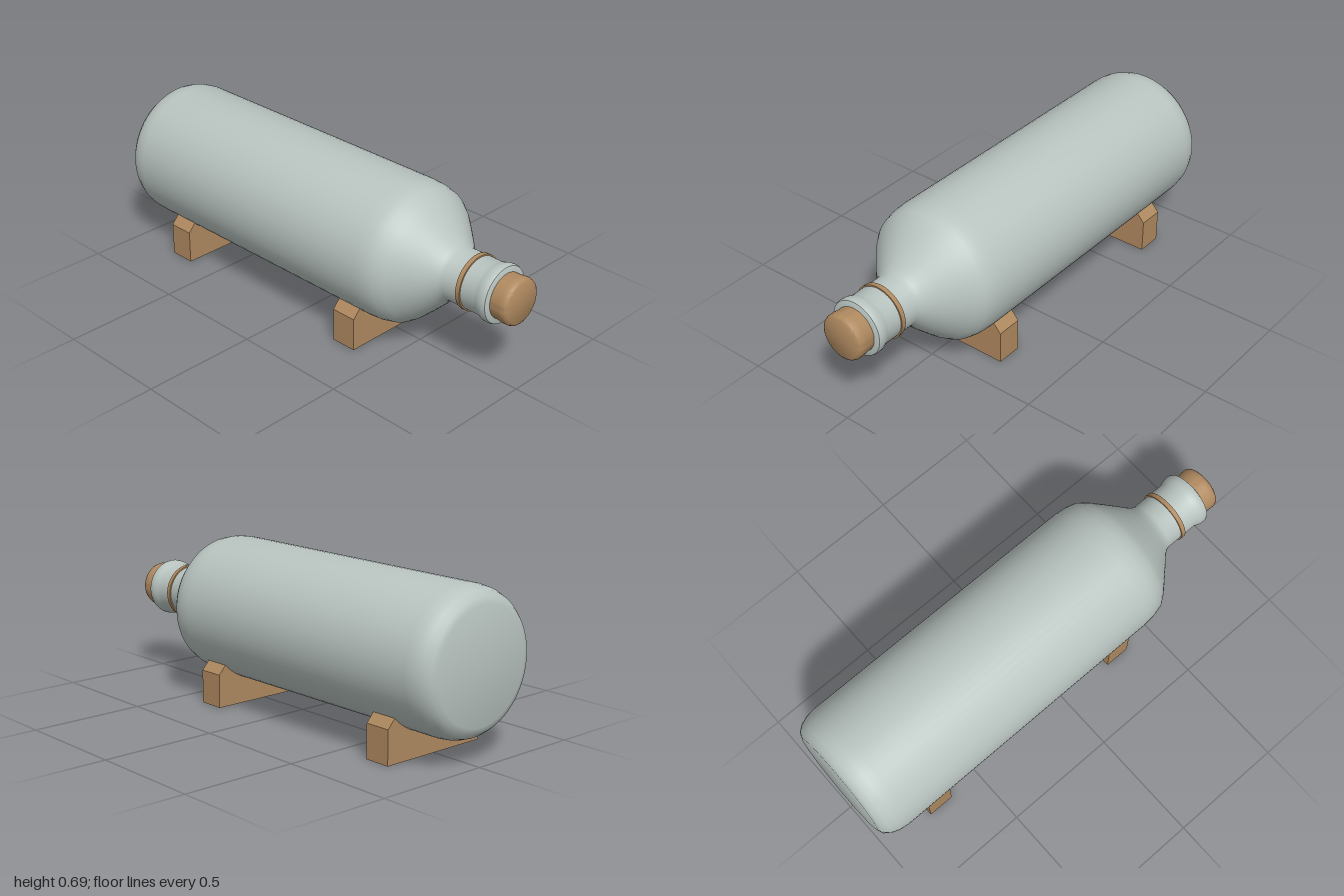
import * as THREE from 'three';
import { toCreasedNormals } from 'three/addons/utils/BufferGeometryUtils.js';

const AXIS_Y = 0.39; // height of the bottle's axis
const RADIUS = 0.3;

// Turned part lying along x, from [radius, x] pairs
function turned(name, profile, material) {
  const points = profile.map(([r, x]) => new THREE.Vector2(r, x));
  const geometry = toCreasedNormals(new THREE.LatheGeometry(points, 64), 0.75);
  geometry.rotateZ(-Math.PI / 2);
  const mesh = new THREE.Mesh(geometry, material);
  mesh.name = name;
  mesh.position.y = AXIS_Y;
  return mesh;
}

// Wooden block with a round cradle cut to the bottle's radius
function cradle(name, x, material) {
  const width = 0.115, halfZ = 0.25, lipZ = 0.216;
  const a = Math.asin(lipZ / RADIUS);
  const lipY = AXIS_Y - RADIUS * Math.cos(a);
  const shape = new THREE.Shape();
  shape.moveTo(-halfZ, 0);
  shape.lineTo(halfZ, 0);
  shape.lineTo(halfZ, 0.144);
  shape.lineTo(lipZ, lipY);
  shape.absarc(0, AXIS_Y, RADIUS, -Math.PI / 2 + a, -Math.PI / 2 - a, true);
  shape.lineTo(-halfZ, 0.144);
  shape.closePath();
  const geometry = new THREE.ExtrudeGeometry(shape, { depth: width, bevelEnabled: false, curveSegments: 32 });
  geometry.translate(0, 0, -width / 2);
  geometry.rotateY(Math.PI / 2);
  const mesh = new THREE.Mesh(geometry, material);
  mesh.name = name;
  mesh.position.x = x;
  return mesh;
}

export function createModel() {
  const glass = new THREE.MeshStandardMaterial({ color: 0xb9c4c0 });
  glass.name = 'greyGlass';
  const wood = new THREE.MeshStandardMaterial({ color: 0xb08a60 });
  wood.name = 'wood';

  const model = new THREE.Group();
  model.name = 'bottleOnStand';

  // Base, body, shoulder, neck and lip in one profile
  model.add(turned('bottle', [
    [0, -1], [0.235, -1], [0.262, -0.99], [0.282, -0.965], [0.295, -0.93], [0.3, -0.89],
    [0.3, 0.4], [0.296, 0.45], [0.285, 0.495], [0.26, 0.53], [0.22, 0.573], [0.175, 0.62],
    [0.14, 0.655], [0.12, 0.68], [0.112, 0.7], [0.112, 0.855], [0.116, 0.868],
    [0.122, 0.885], [0.123, 0.905], [0.119, 0.916], [0.108, 0.921], [0, 0.921],
  ], glass));

  // Band around the neck
  model.add(turned('neckBand', [
    [0.108, 0.77], [0.118, 0.77], [0.118, 0.79], [0.108, 0.79],
  ], wood));

  // Stopper with a softened end
  model.add(turned('cork', [
    [0.096, 0.9], [0.096, 0.935], [0.099, 0.965], [0.099, 0.982], [0.095, 0.993], [0.086, 0.999], [0, 1],
  ], wood));

  model.add(cradle('rearCradle', -0.707, wood), cradle('neckCradle', 0.307, wood));
  return model;
}
